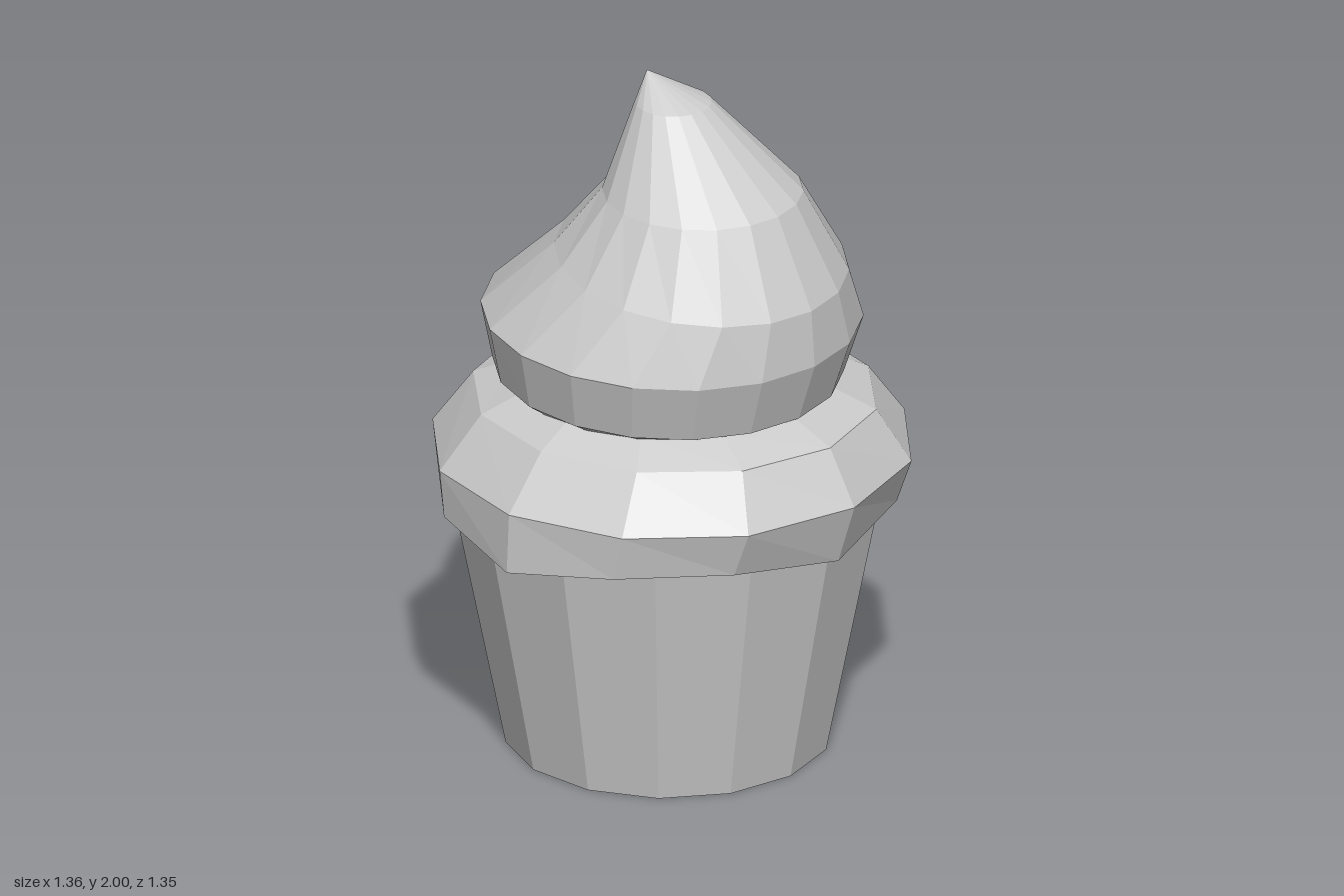
import * as THREE from 'three';

const material = new THREE.MeshStandardMaterial({ color: 0xcccccc, flatShading: true });

// Skins a stack of rings, listed from the bottom up.
// Ring: y, rx, rz, cx, cz = centre, tilt = height gained towards +x, dip = drop at the four axis corners.
function loft(name, sides, rings) {
  const position = [], index = [];
  for (const { y, rx, rz = rx, cx = 0, cz = 0, tilt = 0, dip = 0 } of rings) {
    for (let i = 0; i < sides; i++) {
      const a = (i / sides) * Math.PI * 2;
      const drop = dip * Math.max(0, Math.cos(4 * a));
      position.push(cx + rx * Math.cos(a), y + tilt * Math.cos(a) - drop, cz + rz * Math.sin(a));
    }
  }
  for (let r = 0; r < rings.length - 1; r++) {
    for (let i = 0; i < sides; i++) {
      const a = r * sides + i, b = r * sides + ((i + 1) % sides);
      if (rings[r + 1].rx > 0) index.push(a, a + sides, b + sides);
      if (rings[r].rx > 0) index.push(a, b + sides, b);
    }
  }
  const geometry = new THREE.BufferGeometry();
  geometry.setAttribute('position', new THREE.Float32BufferAttribute(position, 3));
  geometry.setIndex(index);
  const flat = geometry.toNonIndexed();
  flat.computeVertexNormals();
  const mesh = new THREE.Mesh(flat, material);
  mesh.name = name;
  return mesh;
}

export function createModel() {
  const group = new THREE.Group();
  group.name = 'softServeCup';

  // Tapered cup, closed at the base
  group.add(loft('cup', 14, [
    { y: 0, rx: 0, cx: -0.015 },
    { y: 0, rx: 0.457, cx: -0.015 },
    { y: 0.8, rx: 0.615, cx: -0.015 },
  ]));

  // Thick cream layer drooping over the cup rim
  group.add(loft('lowerCream', 12, [
    { y: 0.75, rx: 0.56, cx: -0.01, dip: 0.04 },
    { y: 0.755, rx: 0.63, rz: 0.675, cx: -0.01, dip: 0.045 },
    { y: 0.89, rx: 0.68, rz: 0.677 },
    { y: 1.045, rx: 0.58, rz: 0.555, cx: 0.01 },
    { y: 1.1, rx: 0.44, cx: 0.005 },
    { y: 1.1, rx: 0 },
  ]));

  // Leaning swirl that curls to an off-centre tip
  group.add(loft('creamSwirl', 18, [
    { y: 1.09, rx: 0 },
    { y: 1.09, rx: 0.445 },
    { y: 1.12, rx: 0.488, cx: -0.015, tilt: -0.02 },
    { y: 1.293, rx: 0.532, tilt: -0.018 },
    { y: 1.485, rx: 0.41, cx: 0.11, tilt: -0.045 },
    { y: 1.69, rx: 0.28, cx: 0.115 },
    { y: 1.925, rx: 0.107, cx: 0.005 },
    { y: 2, rx: 0, cx: -0.08, cz: 0.015 },
  ]));
  return group;
}
